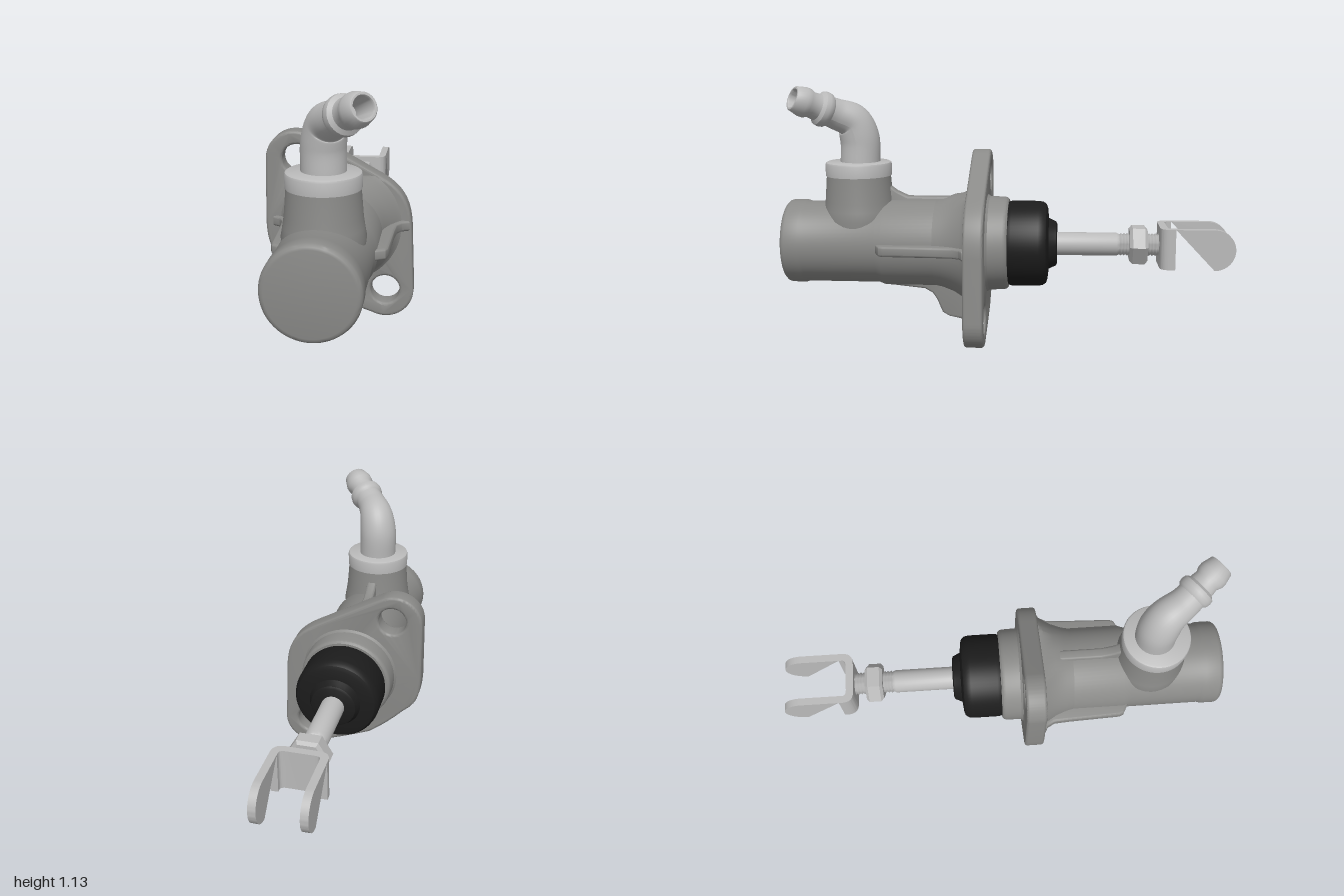
import * as THREE from 'three';
import { toCreasedNormals } from 'three/addons/utils/BufferGeometryUtils.js';

const CX = 0.003, CY = 0.427; // bore axis

export function createModel() {
  const group = new THREE.Group();
  const material = (name, color) => {
    const m = new THREE.MeshStandardMaterial({ color });
    m.name = name;
    return m;
  };
  const cast = material('cast grey', 0x8a8a88);
  const steel = material('light steel', 0xbababa);
  const rubber = material('black rubber', 0x1c1c1c);

  const add = (name, geo, mat, x = 0, y = 0, z = 0) => {
    const mesh = new THREE.Mesh(geo, mat);
    mesh.name = name;
    mesh.position.set(x, y, z);
    group.add(mesh);
    return mesh;
  };
  // Turned part: [radius, height] pairs from low to high
  const lathe = (pts, sides = 48, crease = 0.6) =>
    toCreasedNormals(new THREE.LatheGeometry(pts.map(p => new THREE.Vector2(...p)), sides), crease);
  // Turned part lying along the bore axis: [radius, z] pairs
  const bore = (name, pts, mat, sides, crease) =>
    add(name, lathe(pts, sides, crease).rotateX(Math.PI / 2), mat, CX, CY, 0);
  const extrude = (shape, depth, bevel) => {
    const geo = new THREE.ExtrudeGeometry(shape, {
      depth: depth - 2 * bevel, bevelEnabled: bevel > 0, bevelSize: bevel, bevelThickness: bevel,
      bevelOffset: -bevel, bevelSegments: 3, curveSegments: 20,
    });
    return toCreasedNormals(geo.translate(0, 0, bevel), 0.6);
  };
  const hole = (shape, x, y, r) =>
    shape.holes.push(new THREE.Path().absarc(x, y, r, 0, Math.PI * 2, true));

  // Cylinder body
  bore('cylinderBody', [
    [0.196, 0.12], [0.196, 0.55], [0.185, 0.58], [0.184, 0.905], [0.189, 0.92],
    [0.189, 0.98], [0.186, 0.99], [0.178, 0.998], [0.168, 1], [0, 1],
  ], cast, 64);

  // Flare into the flange, flattened on top
  const flare = new THREE.LatheGeometry([
    [0.275, 0.17], [0.262, 0.18], [0.25, 0.195], [0.222, 0.24], [0.203, 0.29], [0.19, 0.35],
  ].map(p => new THREE.Vector2(...p)), 64).rotateX(Math.PI / 2);
  const fp = flare.attributes.position;
  for (let i = 0; i < fp.count; i++) fp.setY(i, Math.min(fp.getY(i), 0.22));
  add('flangeFlare', toCreasedNormals(flare, 0.6), cast, CX, CY, 0);

  // Two-lobed mounting flange
  const deg = Math.PI / 180;
  const plate = new THREE.Shape();
  plate.absarc(0.2, 0.125, 0.125, -115 * deg, 5 * deg, false);
  plate.lineTo(0.313, 0.42);
  plate.bezierCurveTo(0.305, 0.53, 0.27, 0.595, 0.16, 0.652);
  plate.lineTo(-0.08, 0.785);
  plate.absarc(-0.2, 0.705, 0.127, 60 * deg, 175 * deg, false);
  plate.lineTo(-0.331, 0.43);
  plate.bezierCurveTo(-0.328, 0.32, -0.31, 0.29, -0.255, 0.245);
  plate.quadraticCurveTo(-0.17, 0.155, -0.09, 0.1);
  plate.quadraticCurveTo(0.03, 0.05, 0.147, 0.012);
  hole(plate, -0.19, 0.71, 0.064);
  hole(plate, 0.2, 0.127, 0.064);
  add('mountingFlange', extrude(plate, 0.087, 0.012), cast, 0, 0, 0.09);

  // Collar behind the flange
  bore('rearCollar', [
    [0, -0.005], [0.198, -0.005], [0.207, 0.003], [0.21, 0.015], [0.212, 0.08], [0.225, 0.095],
  ], cast, 64);

  // Stiffening ribs: [z, radius] outline, turned about the bore
  const rib = (name, pts, angle) => {
    const shape = new THREE.Shape([[0.13, 0.1], ...pts].map(p => new THREE.Vector2(...p)).reverse());
    const geo = extrude(shape, 0.046, 0.01).translate(0, 0, -0.023);
    add(name, geo.rotateY(-Math.PI / 2).rotateZ(angle), cast, CX, CY, 0);
  };
  const sideRib = [[0.13, 0.305], [0.18, 0.3], [0.197, 0.268], [0.23, 0.25], [0.3, 0.245],
    [0.53, 0.236], [0.55, 0.228], [0.575, 0.18], [0.575, 0.1]];
  rib('leftRib', sideRib, -Math.PI / 2);
  rib('rightRib', sideRib, Math.PI / 2);
  rib('bottomRib', [[0.13, 0.366], [0.19, 0.36], [0.27, 0.343], [0.3, 0.325], [0.325, 0.265],
    [0.345, 0.235], [0.38, 0.215], [0.56, 0.196], [0.575, 0.1]], Math.PI);
  rib('topRib', [[0.13, 0.225], [0.2, 0.212], [0.45, 0.212], [0.5, 0.235], [0.54, 0.265],
    [0.62, 0.265], [0.62, 0.1]], 0);

  // Inlet boss and its pale collar
  add('inletBoss', lathe([
    [0.15, 0.43], [0.165, 0.54], [0.158, 0.58], [0.152, 0.62], [0.143, 0.735],
  ]), cast, 0.005, 0, 0.675);
  add('inletCollar', lathe([
    [0.13, 0.73], [0.147, 0.732], [0.148, 0.783], [0.145, 0.791], [0.138, 0.795], [0, 0.795],
  ]), steel, 0.005, 0, 0.675);

  // Tapered elbow pipe
  const v = (x, y, z) => new THREE.Vector3(x, y, z);
  const beadAt = v(0.1, 1.035, 0.81);
  const path = new THREE.CatmullRomCurve3([
    v(0.005, 0.78, 0.667), v(0.005, 0.9, 0.667), v(0.021, 0.975, 0.693),
    v(0.058, 1.009, 0.756), beadAt,
  ]);
  const steps = 32, around = 32;
  const elbow = new THREE.TubeGeometry(path, steps, 1, around);
  const ep = elbow.attributes.position;
  const p = new THREE.Vector3();
  for (let i = 0; i < ep.count; i++) {
    const u = Math.floor(i / (around + 1)) / steps;
    const centre = path.getPointAt(u);
    const radius = 0.088 - 0.022 * THREE.MathUtils.smoothstep(u, 0.3, 0.95);
    p.fromBufferAttribute(ep, i).sub(centre).multiplyScalar(radius).add(centre);
    ep.setXYZ(i, p.x, p.y, p.z);
  }
  elbow.computeVertexNormals();
  add('inletElbow', elbow, steel);

  // Hollow hose barb with a stop bead
  const barb = add('hoseBarb', lathe([
    [0.064, -0.035], [0.076, -0.022], [0.079, -0.005], [0.076, 0.012], [0.06, 0.024],
    [0.056, 0.055], [0.065, 0.075], [0.066, 0.095], [0.055, 0.138], [0.051, 0.142],
    [0.044, 0.142], [0.04, 0.135], [0.038, 0.02], [0, 0.02],
  ], 32), steel, beadAt.x, beadAt.y, beadAt.z);
  barb.quaternion.setFromUnitVectors(v(0, 1, 0), v(0.082, 0.05, 0.105).normalize());

  // Rubber boot
  bore('rubberBoot', [
    [0, -0.222], [0.09, -0.222], [0.1, -0.217], [0.105, -0.205], [0.115, -0.185], [0.16, -0.18],
    [0.178, -0.174], [0.188, -0.16], [0.192, -0.14], [0.192, -0.02], [0.188, -0.006],
    [0.18, 0], [0, 0],
  ], rubber, 64);

  // Push rod with threaded end
  const rod = [[0, -0.7], [0.045, -0.7]];
  for (let z = -0.69; z < -0.5; z += 0.014) rod.push([0.051, z], [0.045, z + 0.007]);
  rod.push([0.052, -0.488], [0.052, -0.2]);
  bore('pushRod', rod, steel, 32);

  // Hexagonal lock nut
  bore('lockNut', [
    [0, -0.625], [0.078, -0.625], [0.093, -0.612], [0.093, -0.558], [0.078, -0.545], [0, -0.545],
  ], steel, 6, 0.2).rotation.z = Math.PI / 6;

  // Clevis yoke: bent base strip, extruded upward
  const w = 0.118, t = 0.033, zb = 0.675, bend = 0.05, za = 0.74;
  const strip = new THREE.Shape();
  strip.moveTo(-w, za);
  strip.lineTo(-w, zb + bend);
  strip.quadraticCurveTo(-w, zb, -w + bend, zb);
  strip.lineTo(w - bend, zb);
  strip.quadraticCurveTo(w, zb, w, zb + bend);
  strip.lineTo(w, za);
  strip.lineTo(w - t, za);
  strip.lineTo(w - t, zb + bend);
  strip.quadraticCurveTo(w - t, zb + t, w - bend - 0.01, zb + t);
  strip.lineTo(-w + bend + 0.01, zb + t);
  strip.quadraticCurveTo(-w + t, zb + t, -w + t, zb + bend);
  strip.lineTo(-w + t, za);
  add('clevisBase', extrude(strip, 0.18, 0).translate(0, 0, -0.09).rotateX(-Math.PI / 2),
    steel, CX, CY, 0);

  // Clevis arms with rounded ends and pin holes
  const arm = new THREE.Shape();
  arm.moveTo(za, -0.09);
  arm.absarc(0.91, 0, 0.09, -Math.PI / 2, Math.PI / 2, false);
  arm.lineTo(za, 0.09);
  hole(arm, 0.9, 0, 0.04);
  for (const [name, x] of [['leftClevisArm', w - t], ['rightClevisArm', -w]]) {
    add(name, extrude(arm, t, 0).rotateY(Math.PI / 2), steel, CX + x, CY, 0);
  }
  return group;
}
